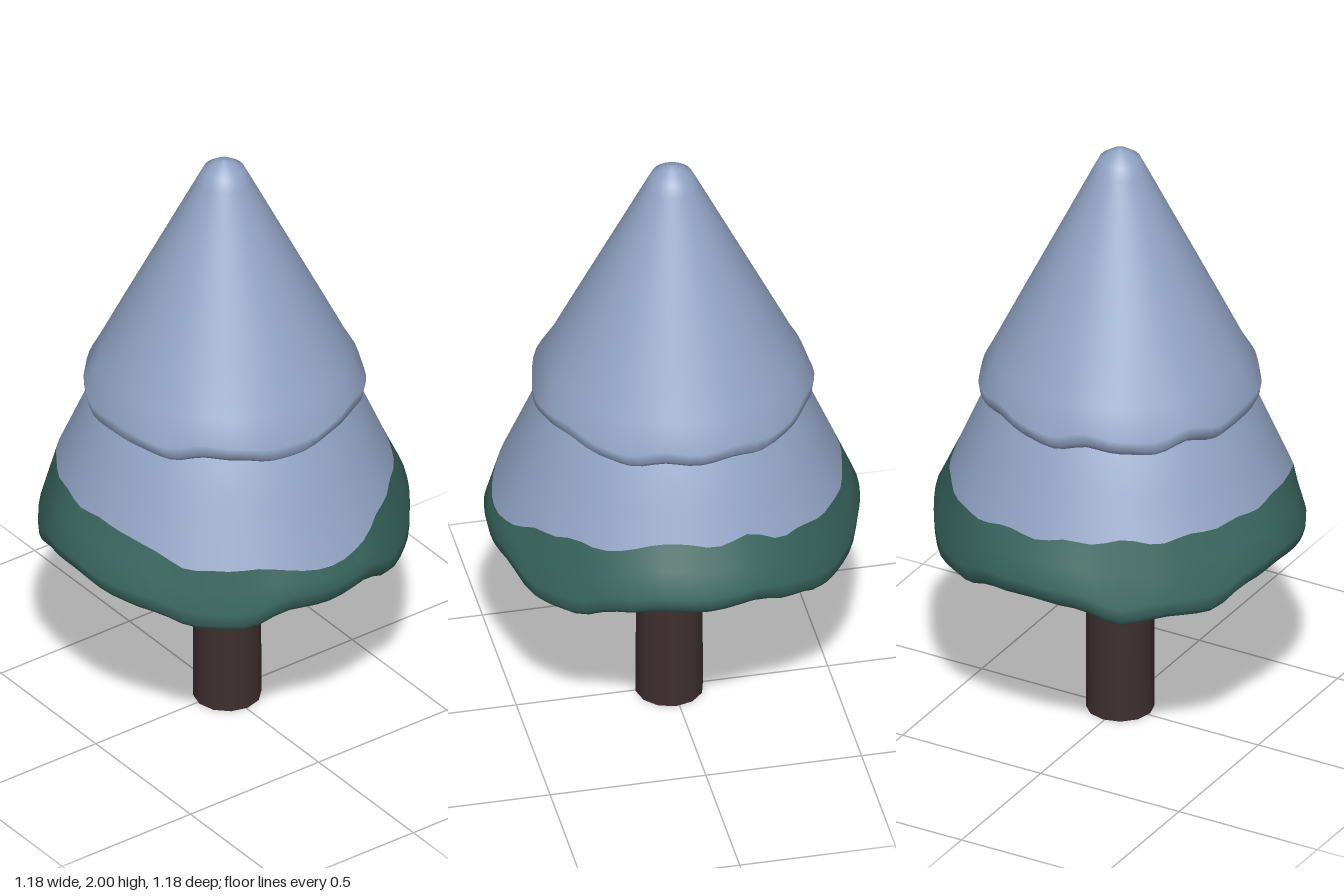
import * as THREE from 'three';

const SEGMENTS = 72;

// Smoothly reads a closed ring of values at a given angle
function ring(values, angle) {
  const n = values.length;
  const t = (angle / (Math.PI * 2)) * n;
  const i = Math.floor(t) % n;
  const f = t - Math.floor(t);
  const s = f * f * (3 - 2 * f);
  return values[i] * (1 - s) + values[(i + 1) % n] * s;
}

// Lofts an open shell from rows (top to bottom); each row gives [radius, y] for an angle
function shell(rows) {
  const positions = [];
  const index = [];
  rows.forEach((row, j) => {
    for (let i = 0; i < SEGMENTS; i++) {
      const angle = (i / SEGMENTS) * Math.PI * 2;
      const [r, y] = row(angle);
      positions.push(r * Math.cos(angle), y, r * Math.sin(angle));
      if (j === rows.length - 1) continue;
      const a = j * SEGMENTS + i;
      const b = j * SEGMENTS + ((i + 1) % SEGMENTS);
      index.push(a, b, a + SEGMENTS, b, b + SEGMENTS, a + SEGMENTS);
    }
  });
  const geometry = new THREE.BufferGeometry();
  geometry.setAttribute('position', new THREE.Float32BufferAttribute(positions, 3));
  geometry.setIndex(index);
  geometry.computeVertexNormals();
  return geometry;
}

// Heights every 15 degrees, starting at +x and turning towards +z
const snowLine = [
  0.89, 0.91, 0.87, 0.865, 0.85, 0.80, 0.77, 0.80, 0.82, 0.81, 0.85, 0.88,
  0.88, 0.88, 0.88, 0.87, 0.88, 0.87, 0.86, 0.86, 0.84, 0.85, 0.86, 0.90,
];
const lowerHem = [
  0.67, 0.68, 0.66, 0.61, 0.60, 0.65, 0.64, 0.65, 0.60, 0.605, 0.64, 0.65,
  0.67, 0.66, 0.61, 0.62, 0.60, 0.65, 0.66, 0.65, 0.61, 0.60, 0.64, 0.68,
];
const upperHem = [
  1.13, 1.145, 1.12, 1.13, 1.15, 1.14, 1.12, 1.12, 1.14, 1.15, 1.12, 1.13,
  1.13, 1.12, 1.15, 1.12, 1.13, 1.15, 1.12, 1.13, 1.15, 1.13, 1.12, 1.14,
];

const skirtRadius = (y) => 0.42 + (1.13 - y) * 0.425;
const fixed = (r, y) => () => [r, y];
const mix = THREE.MathUtils.lerp;

export function createModel() {
  const snow = new THREE.MeshStandardMaterial({ color: 0x92a4c5, side: THREE.DoubleSide });
  snow.name = 'snow';
  const needles = new THREE.MeshStandardMaterial({ color: 0x3a665f, side: THREE.DoubleSide });
  needles.name = 'needles';
  const bark = new THREE.MeshStandardMaterial({ color: 0x3f2f30 });
  bark.name = 'bark';

  const tree = new THREE.Group();
  tree.name = 'snowyTree';
  const add = (name, geometry, material) => {
    const mesh = new THREE.Mesh(geometry, material);
    mesh.name = name;
    tree.add(mesh);
    return mesh;
  };

  // Trunk, reaching up inside the branches
  add('trunk', new THREE.CylinderGeometry(0.105, 0.108, 1.3, 12), bark)
    .position.set(0.005, 0.65, 0.01);

  // Lower skirt: snow above an uneven line, bare needles below it
  const line = (a) => {
    const y = ring(snowLine, a) + 0.005 * Math.sin(a * 17);
    return [skirtRadius(y), y];
  };
  const bulge = (a) => [0.587 + 0.005 * Math.cos(a * 4), ring(lowerHem, a) + 0.065];
  const between = (t) => (a) => {
    const p = line(a);
    const q = bulge(a);
    return [mix(p[0], q[0], t), mix(p[1], q[1], t)];
  };
  add('lowerSnow', shell([
    fixed(0.001, 1.62), fixed(0.1, 1.58), fixed(0.3, 1.35),
    fixed(skirtRadius(1.15), 1.15), fixed(skirtRadius(1), 1), line,
  ]), snow);
  add('lowerNeedles', shell([
    line, between(0.5), bulge,
    (a) => [0.583, ring(lowerHem, a) + 0.025],
    (a) => [0.56, ring(lowerHem, a)],
  ]), needles);

  // Upper cone with a rounded tip and a scalloped, tucked-in hem
  add('upperSnow', shell([
    fixed(0.001, 2), fixed(0.03, 1.99), fixed(0.065, 1.965), fixed(0.085, 1.925),
    fixed(0.2, 1.69), fixed(0.32, 1.445), fixed(0.4, 1.28),
    (a) => [0.443 + 0.004 * Math.cos(a * 9), ring(upperHem, a) + 0.06],
    (a) => [0.44, ring(upperHem, a) + 0.025],
    (a) => [0.415, ring(upperHem, a)],
    (a) => [0.39, ring(upperHem, a) + 0.015],
  ]), snow);

  return tree;
}
